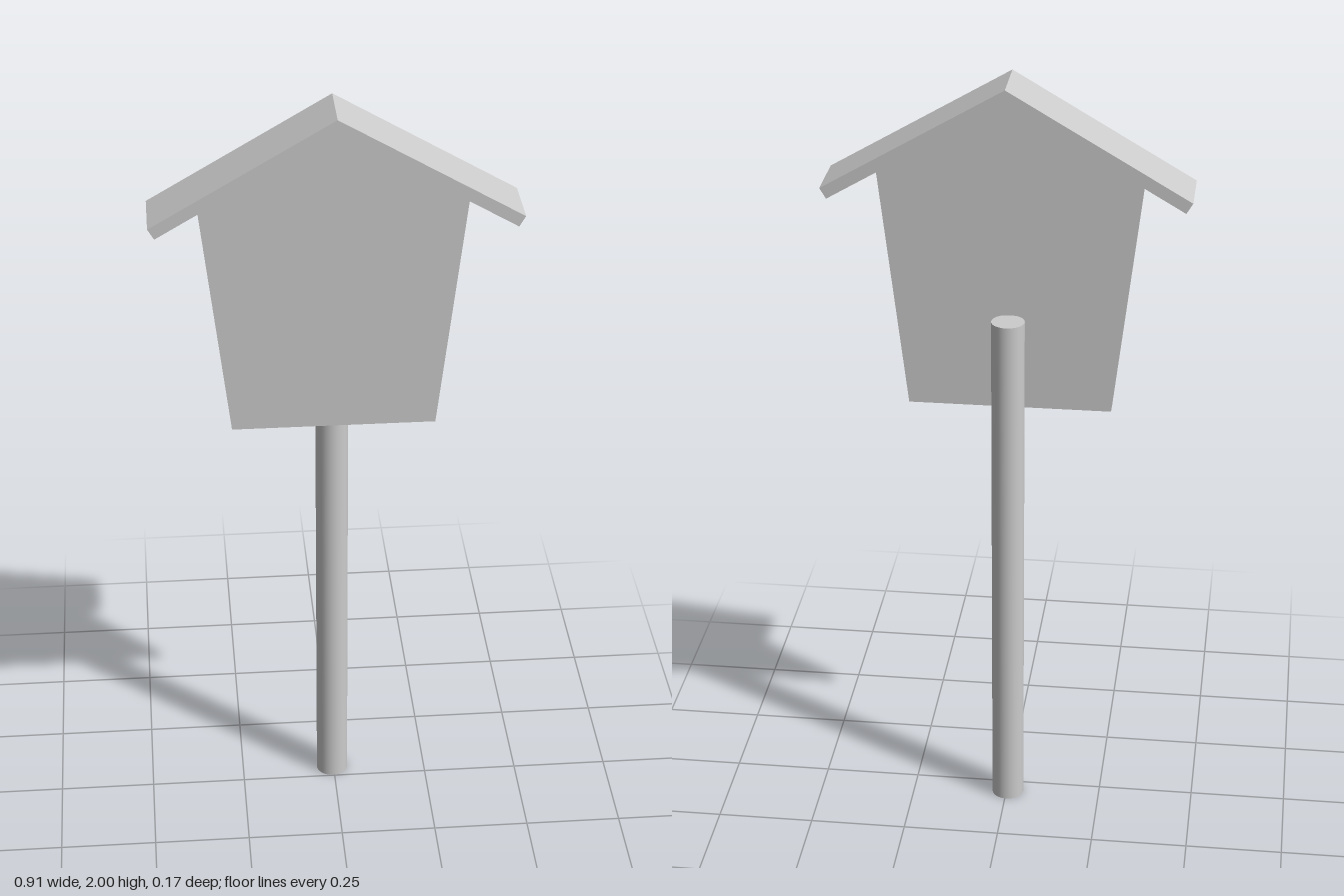
import * as THREE from 'three';

const material = new THREE.MeshStandardMaterial({ color: 0xcccccc });

// Extrudes an outline in the xy plane between two depths
function slab(name, outline, zBack, zFront) {
  const shape = new THREE.Shape(outline.map(([x, y]) => new THREE.Vector2(x, y)));
  const geometry = new THREE.ExtrudeGeometry(shape, { depth: zFront - zBack, bevelEnabled: false });
  geometry.translate(0, 0, zBack);
  const mesh = new THREE.Mesh(geometry, material);
  mesh.name = name;
  return mesh;
}

export function createModel() {
  const model = new THREE.Group();
  model.name = 'signPost';

  // Round post behind the board
  const postHeight = 1.39, postRadius = 0.042;
  const post = new THREE.Mesh(
    new THREE.CylinderGeometry(postRadius, postRadius, postHeight, 40), material);
  post.name = 'post';
  post.position.set(-0.004, postHeight / 2, -0.044);
  model.add(post);

  // Tapered house-shaped board, its gable meeting the underside of the roof
  model.add(slab('board', [
    [-0.262, 1.138], [0.254, 1.138], [0.328, 1.773], [0, 1.965], [-0.336, 1.768],
  ], -0.005, 0.027));

  // Two sloping roof planks mitred at the ridge
  const plank = [[0, 1.965], [0.439, 1.707], [0.455, 1.734], [0, 2]];
  const mirrored = plank.map(([x, y]) => [-x, y]).reverse();
  model.add(slab('leftRoofPlank', plank, -0.073, 0.086));
  model.add(slab('rightRoofPlank', mirrored, -0.073, 0.086));

  return model;
}
